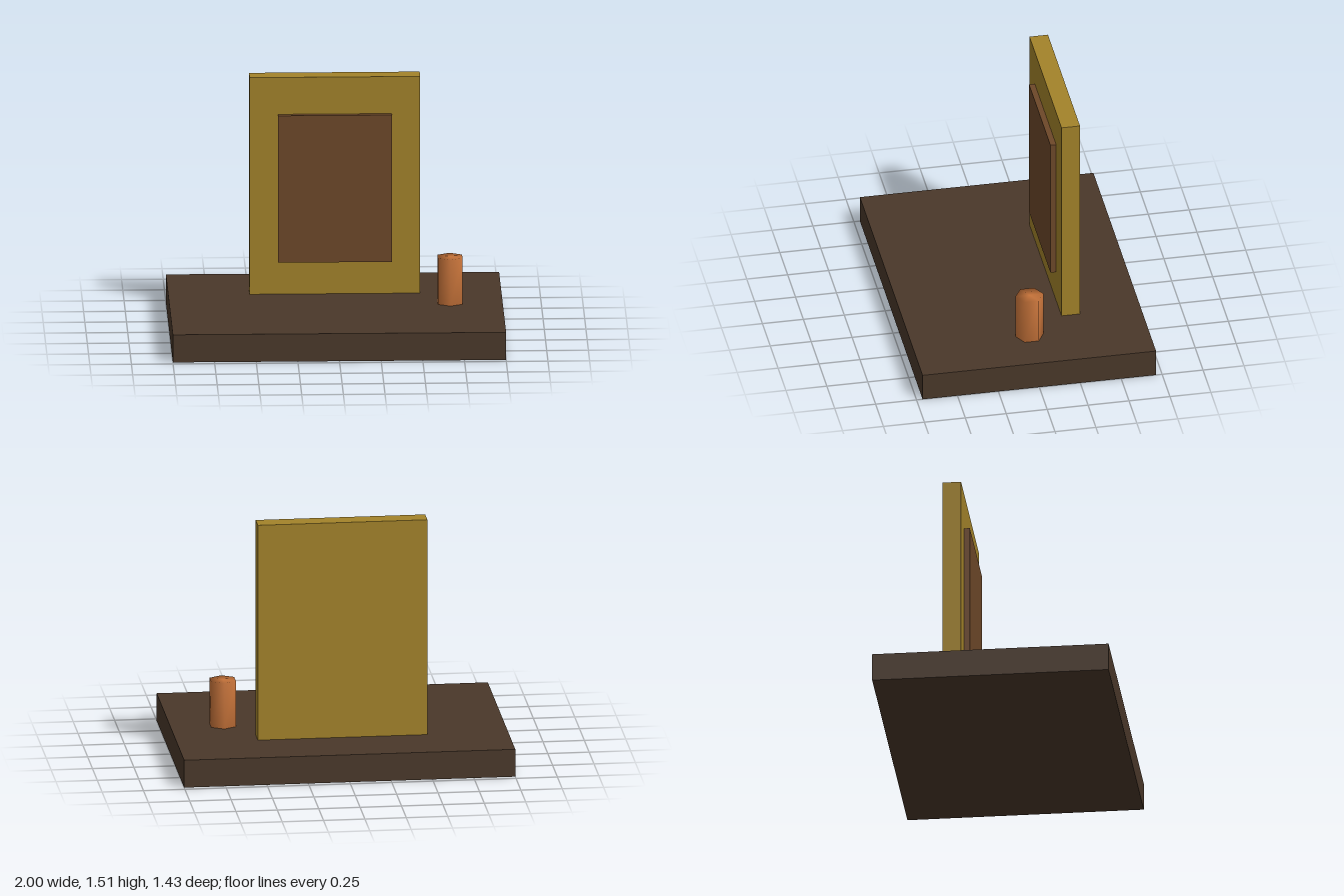
import * as THREE from 'three';
import { mergeVertices } from 'three/addons/utils/BufferGeometryUtils.js';

function material(name, color) {
  const m = new THREE.MeshStandardMaterial({ color });
  m.name = name;
  return m;
}

export function createModel() {
  const group = new THREE.Group();
  group.name = 'displayStand';

  const darkWood = material('dark wood', 0x4a382a);
  const gold = material('gold', 0xa3832a);
  const brown = material('brown', 0x6d4829);
  const copper = material('copper', 0xc8743a);

  // Box given by its lower and upper corners
  function slab(name, mat, [x0, y0, z0], [x1, y1, z1]) {
    const mesh = new THREE.Mesh(new THREE.BoxGeometry(x1 - x0, y1 - y0, z1 - z0), mat);
    mesh.position.set((x0 + x1) / 2, (y0 + y1) / 2, (z0 + z1) / 2);
    mesh.name = name;
    group.add(mesh);
  }

  const baseTop = 0.171;
  slab('base', darkWood, [-1, 0, -0.713], [1, baseTop, 0.713]);
  slab('uprightPanel', gold, [-0.512, baseTop, -0.342], [0.512, 1.515, -0.229]);
  slab('raisedInset', brown, [-0.341, 0.375, -0.229], [0.341, 1.286, -0.194]);

  // Six-sided post, with normals shared between the sides and caps
  const height = 0.286;
  let post = new THREE.CylinderGeometry(0.0855, 0.0855, height, 6);
  post.deleteAttribute('uv');
  post.deleteAttribute('normal');
  post = mergeVertices(post);
  post.computeVertexNormals();
  const postMesh = new THREE.Mesh(post, copper);
  postMesh.name = 'post';
  postMesh.position.set(0.684, baseTop + height / 2, 0);
  group.add(postMesh);

  return group;
}
